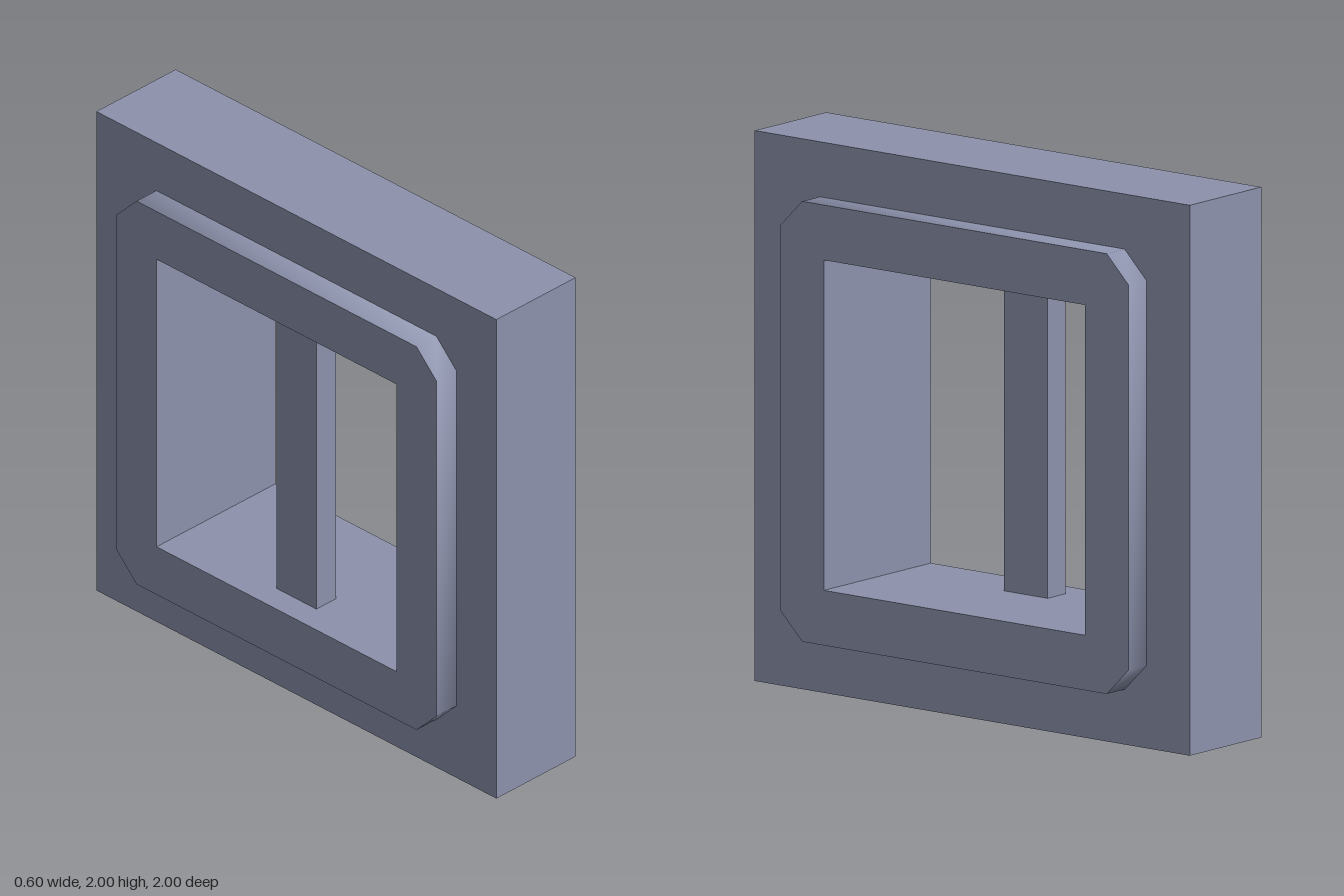
import * as THREE from 'three';
import { toCreasedNormals } from 'three/addons/utils/BufferGeometryUtils.js';

// Square outline with cut corners and a square opening, centred on the origin
function frameShape(half, cut, opening) {
  const h = half, c = half - cut, o = opening;
  const points = cut > 0
    ? [[h, -c], [h, c], [c, h], [-c, h], [-h, c], [-h, -c], [-c, -h], [c, -h]]
    : [[h, -h], [h, h], [-h, h], [-h, -h]];
  const shape = new THREE.Shape(points.map(([x, y]) => new THREE.Vector2(x, y)));
  const hole = [[-o, -o], [-o, o], [o, o], [o, -o]];
  shape.holes.push(new THREE.Path(hole.map(([x, y]) => new THREE.Vector2(x, y))));
  return shape;
}

// Extrude the outline along x, starting at startX; cut corners shade smoothly
function frameGeometry(shape, startX, depth) {
  const geometry = new THREE.ExtrudeGeometry(shape, { depth, bevelEnabled: false });
  geometry.rotateY(Math.PI / 2);
  geometry.translate(startX, 1, 0);
  return toCreasedNormals(geometry, THREE.MathUtils.degToRad(50));
}

export function createModel() {
  const model = new THREE.Group();
  model.name = 'windowBlock';
  const coolGrey = new THREE.MeshStandardMaterial({ color: 0x8c92ac });
  coolGrey.name = 'coolGrey';

  const add = (name, geometry) => {
    const mesh = new THREE.Mesh(geometry, coolGrey);
    mesh.name = name;
    model.add(mesh);
    return mesh;
  };

  // Thick square surround
  add('surround', frameGeometry(frameShape(1, 0, 0.6), -0.2, 0.4));

  // Raised rim on each face
  const rim = frameShape(0.8, 0.1, 0.6);
  add('leftRim', frameGeometry(rim, 0.2, 0.1));
  add('rightRim', frameGeometry(rim, -0.3, 0.1));

  // Upright bar across the opening, set towards one face
  add('centreBar', new THREE.BoxGeometry(0.1, 1.2, 0.2)).position.set(-0.15, 1, 0);

  return model;
}
